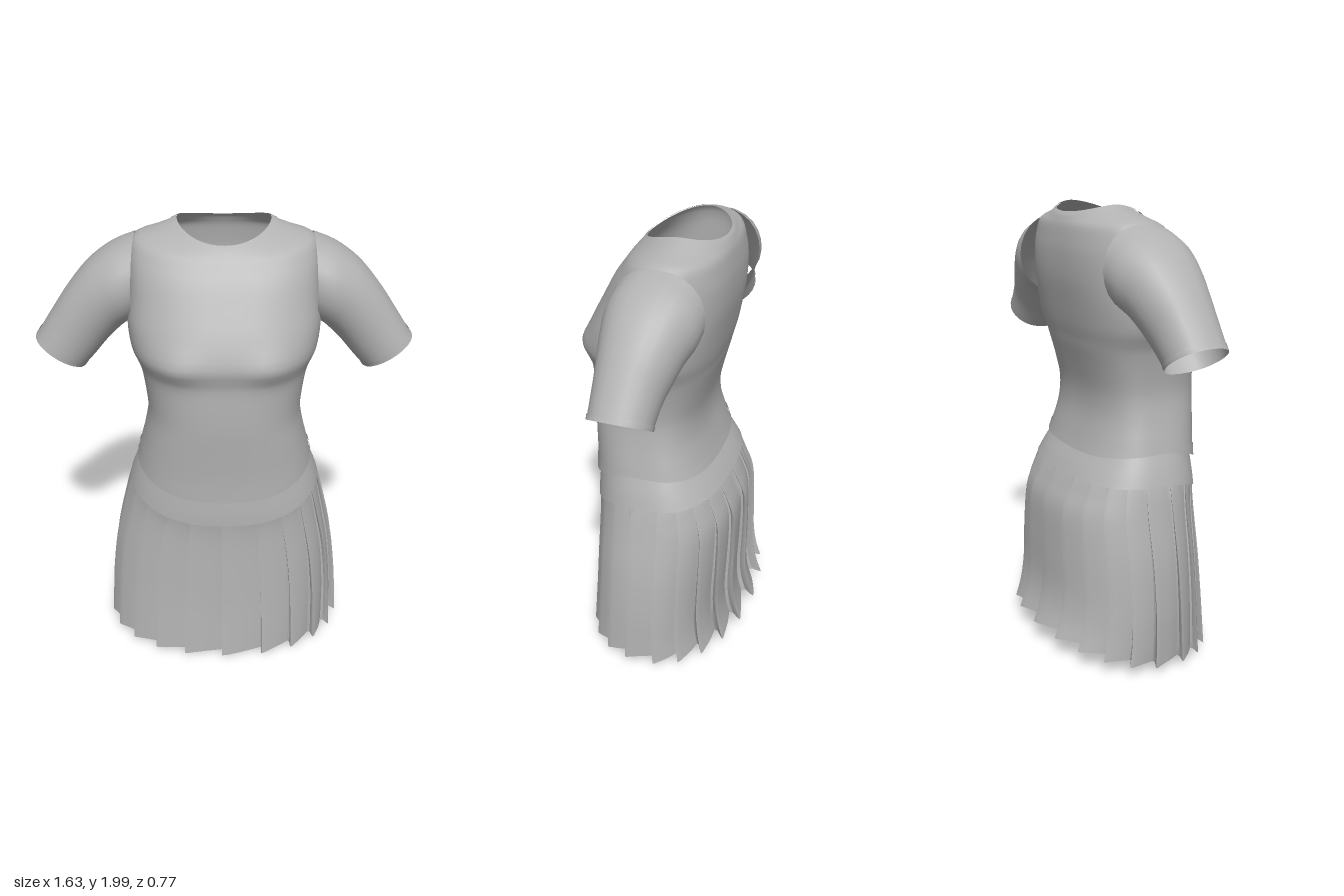
import * as THREE from 'three';
import { toCreasedNormals } from 'three/addons/utils/BufferGeometryUtils.js';

const fabric = new THREE.MeshStandardMaterial({ color: 0xb2b2b2, side: THREE.DoubleSide });
fabric.name = 'grey fabric';

// Catmull-Rom blend of a table of section rows
function refine(rows, steps) {
  const out = [];
  const at = i => rows[Math.max(0, Math.min(rows.length - 1, i))];
  for (let i = 0; i < rows.length - 1; i++)
    for (let s = 0; s < steps; s++) {
      const t = s / steps;
      out.push(rows[i].map((_, k) => {
        const [a, b, c, d] = [at(i - 1)[k], at(i)[k], at(i + 1)[k], at(i + 2)[k]];
        return b + 0.5 * t * (c - a + t * (2 * a - 5 * b + 4 * c - d + t * (3 * (b - c) + d - a)));
      }));
    }
  out.push(rows[rows.length - 1]);
  return out;
}

// Closed rings of points joined into one skin
function skin(rings, name, crease) {
  const n = rings[0].length, index = [];
  for (let r = 0; r < rings.length - 1; r++)
    for (let c = 0; c < n; c++) {
      const a = r * n + c, b = r * n + (c + 1) % n;
      index.push(a, a + n, b, b, a + n, b + n);
    }
  let geo = new THREE.BufferGeometry();
  geo.setAttribute('position', new THREE.Float32BufferAttribute(rings.flat(2), 3));
  geo.setIndex(index);
  if (crease) geo = toCreasedNormals(geo, crease);
  else geo.computeVertexNormals();
  const mesh = new THREE.Mesh(geo, fabric);
  mesh.name = name;
  return mesh;
}

// Body section row: half width, front z, back z, widest z, side y, front y, back y, squareness
function bodyPoint([w, zf, zb, zc, ys, yf, yb, n], angle, grow = 0) {
  const c = Math.cos(angle), s = Math.sin(angle);
  const x = (w + grow) * Math.sign(c) * Math.abs(c) ** (2 / n);
  const q = Math.abs(s) ** (2 / n);
  const z = s > 0 ? zc + (zf + grow - zc) * q : zc + (zb - grow - zc) * q;
  const y = ys + ((s > 0 ? yf : yb) - ys) * Math.abs(s) ** 1.6;
  return [x, y, z];
}

function bodyRings(rows, cols, grow = 0) {
  return rows.map(row => Array.from({ length: cols }, (_, i) => {
    const p = bodyPoint(row, i / cols * Math.PI * 2, grow);
    // soft bust fullness on the front
    if (p[2] > 0.1)
      p[2] += 0.022 * Math.exp(-(((Math.abs(p[0]) - 0.2) / 0.1) ** 2) - ((p[1] - 1.49) / 0.07) ** 2);
    return p;
  }));
}

const level = (w, zf, zb, zc, y, n = 2.6) => [w, zf, zb, zc, y, y, y, n];
const shirtRows = [
  [0.387, 0.337, -0.207, 0.03, 0.96, 0.85, 0.935, 2.6],
  [0.375, 0.338, -0.185, 0.03, 1.01, 0.96, 1.0, 2.6],
  level(0.352, 0.346, -0.158, 0.03, 1.1),
  level(0.335, 0.352, -0.155, 0.02, 1.2),
  level(0.343, 0.352, -0.175, 0.01, 1.3),
  level(0.36, 0.35, -0.2, 0, 1.395),
  level(0.376, 0.358, -0.21, -0.005, 1.44),
  level(0.4, 0.366, -0.225, -0.01, 1.5),
  level(0.412, 0.332, -0.243, -0.02, 1.6),
  level(0.405, 0.28, -0.258, -0.03, 1.7),
  level(0.4, 0.225, -0.26, -0.035, 1.8),
  [0.395, 0.19, -0.253, -0.045, 1.88, 1.85, 1.865, 2.4],
  [0.37, 0.165, -0.245, -0.05, 1.935, 1.885, 1.91, 2.3],
  [0.29, 0.147, -0.235, -0.06, 1.962, 1.907, 1.935, 2.15],
  [0.222, 0.132, -0.225, -0.075, 1.985, 1.922, 1.953, 2.1],
  [0.197, 0.12, -0.215, -0.08, 1.995, 1.932, 1.962, 2.1],
];

// Sleeve row: top x, top y, underside x, underside y, centre z, half depth
const sleeveRows = [
  [0.81, 1.5, 0.605, 1.365, -0.015, 0.128],
  [0.725, 1.63, 0.555, 1.42, -0.02, 0.137],
  [0.655, 1.73, 0.5, 1.485, -0.03, 0.155],
  [0.57, 1.825, 0.45, 1.535, -0.038, 0.175],
  [0.47, 1.895, 0.42, 1.56, -0.045, 0.193],
  [0.375, 1.932, 0.39, 1.575, -0.05, 0.195],
];

function sleeveRings(rows, side, grow = 0) {
  return rows.map(([tx, ty, bx, by, cz, d]) => Array.from({ length: 24 }, (_, i) => {
    const a = i / 24 * Math.PI * 2, len = Math.hypot(tx - bx, ty - by);
    const k = Math.cos(a) * (0.5 + grow / len);
    return [side * ((tx + bx) / 2 + (tx - bx) * k), (ty + by) / 2 + (ty - by) * k,
      cz + (d + grow) * Math.sign(Math.sin(a)) * Math.abs(Math.sin(a)) ** 0.85];
  }));
}

const skirtRows = [
  [0.53, 0.355, -0.36, 0, 0.05, 0.015, 0.11, 2.3],
  [0.527, 0.348, -0.335, 0, 0.15, 0.12, 0.19, 2.3],
  [0.52, 0.338, -0.322, 0, 0.3, 0.27, 0.3, 2.3],
  [0.498, 0.33, -0.325, 0, 0.5, 0.45, 0.5, 2.3],
  [0.46, 0.325, -0.32, 0, 0.68, 0.6, 0.68, 2.35],
  [0.437, 0.326, -0.285, 0, 0.78, 0.68, 0.78, 2.4],
  [0.421, 0.33, -0.256, 0, 0.835, 0.73, 0.84, 2.5],
];
// One pleat: share of its width, depth; the tip folds back under itself
const pleat = [[0, -0.5], [0.2, -0.3], [0.4, -0.08], [0.6, 0.12], [0.8, 0.32], [0.96, 0.52], [1.04, 0.56], [1.03, 0.3], [0.96, -0.2]];
const PLEATS = 22;

function skirtRings() {
  const rows = refine(skirtRows, 4);
  return rows.map((row, r) => {
    const drop = 1 - r / (rows.length - 1), ring = [];
    for (let i = 0; i < PLEATS; i++)
      for (const [u, d] of pleat) {
        const a = Math.PI / 2 + (i + u) / PLEATS * Math.PI * 2;
        const p = bodyPoint(row, a);
        const depth = (0.007 + 0.04 * drop ** 1.1) * (1 - 0.3 * Math.sin(a)) * d;
        ring.push([p[0] + Math.cos(a) * depth, p[1] - Math.max(0, d) * 0.015 * drop ** 6, p[2] + Math.sin(a) * depth]);
      }
    return ring;
  });
}

const waistRows = [
  [0.43, 0.335, -0.266, 0, 0.828, 0.724, 0.836, 2.5],
  [0.408, 0.334, -0.235, 0.01, 0.89, 0.78, 0.885, 2.5],
  [0.374, 0.328, -0.19, 0.02, 0.965, 0.87, 0.945, 2.55],
  [0.362, 0.325, -0.17, 0.03, 0.99, 0.93, 0.985, 2.6],
];

export function createModel() {
  const model = new THREE.Group();
  model.name = 'outfit';

  // Shirt body with hem and collar bands
  const shirt = new THREE.Group();
  shirt.name = 'shirt';
  const rows = refine(shirtRows, 3);
  shirt.add(skin(bodyRings(rows, 64), 'shirtBody'));
  shirt.add(skin(bodyRings(rows.slice(0, 3), 64, 0.004), 'shirtHem'));
  const collarRows = rows.slice(-4).map(r => r.map((v, k) => (k > 3 && k < 7 ? v + 0.005 : v)));
  shirt.add(skin(bodyRings(collarRows, 64), 'collar'));

  // Sleeves with cuffs
  for (const side of [1, -1]) {
    const label = side > 0 ? 'left' : 'right';
    const sections = refine(sleeveRows, 4);
    shirt.add(skin(sleeveRings(sections, side), label + 'Sleeve'));
    shirt.add(skin(sleeveRings(sections.slice(0, 2), side, 0.003), label + 'Cuff'));
  }
  model.add(shirt);

  // Pleated skirt
  const skirt = new THREE.Group();
  skirt.name = 'skirt';
  skirt.add(skin(bodyRings(refine(waistRows, 3), 64), 'waistband'));
  skirt.add(skin(skirtRings(), 'pleats', 0.7));
  model.add(skirt);
  return model;
}
